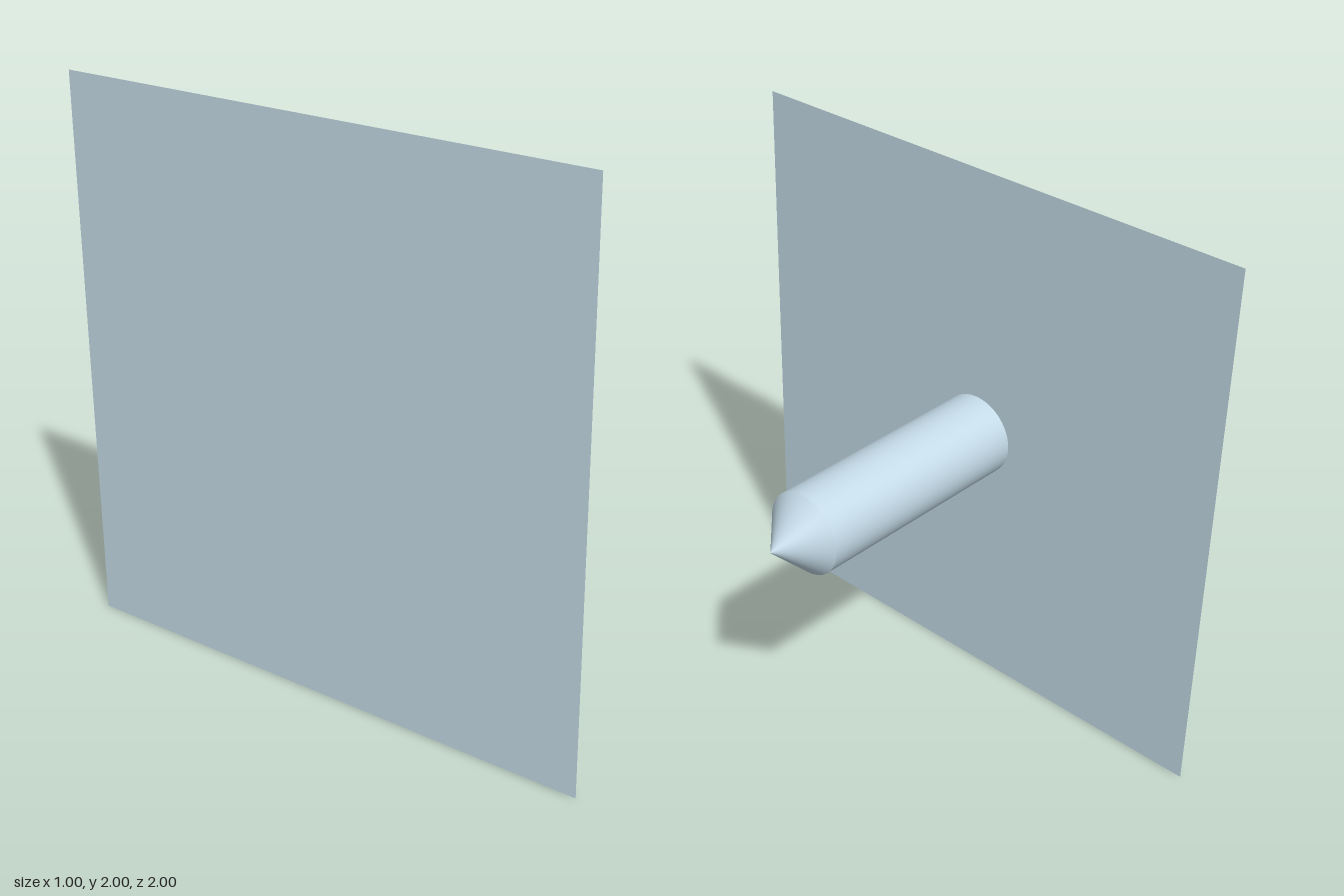
import * as THREE from 'three';

export function createModel() {
  const group = new THREE.Group();
  const radius = 0.15, backX = -0.5, shoulderX = 0.35, tipX = 0.5;
  const color = 0xc4dbe8;
  const solid = new THREE.MeshStandardMaterial({ color });
  const thin = new THREE.MeshStandardMaterial({ color, side: THREE.DoubleSide });

  const add = (name, geometry, material, x) => {
    const mesh = new THREE.Mesh(geometry, material);
    mesh.name = name;
    mesh.position.set(x, 1, 0);
    group.add(mesh);
  };

  // Thin square sheet, facing +x
  add('backPanel', new THREE.PlaneGeometry(2, 2).rotateY(Math.PI / 2), thin, backX);

  // Round shaft standing out from the middle of the panel
  const shaftLength = shoulderX - backX;
  add('shaft',
    new THREE.CylinderGeometry(radius, radius, shaftLength, 64, 1, true).rotateZ(-Math.PI / 2),
    solid, (backX + shoulderX) / 2);

  // Pointed end
  const tipLength = tipX - shoulderX;
  add('tip',
    new THREE.ConeGeometry(radius, tipLength, 64, 1, true).rotateZ(-Math.PI / 2),
    solid, (shoulderX + tipX) / 2);

  return group;
}
